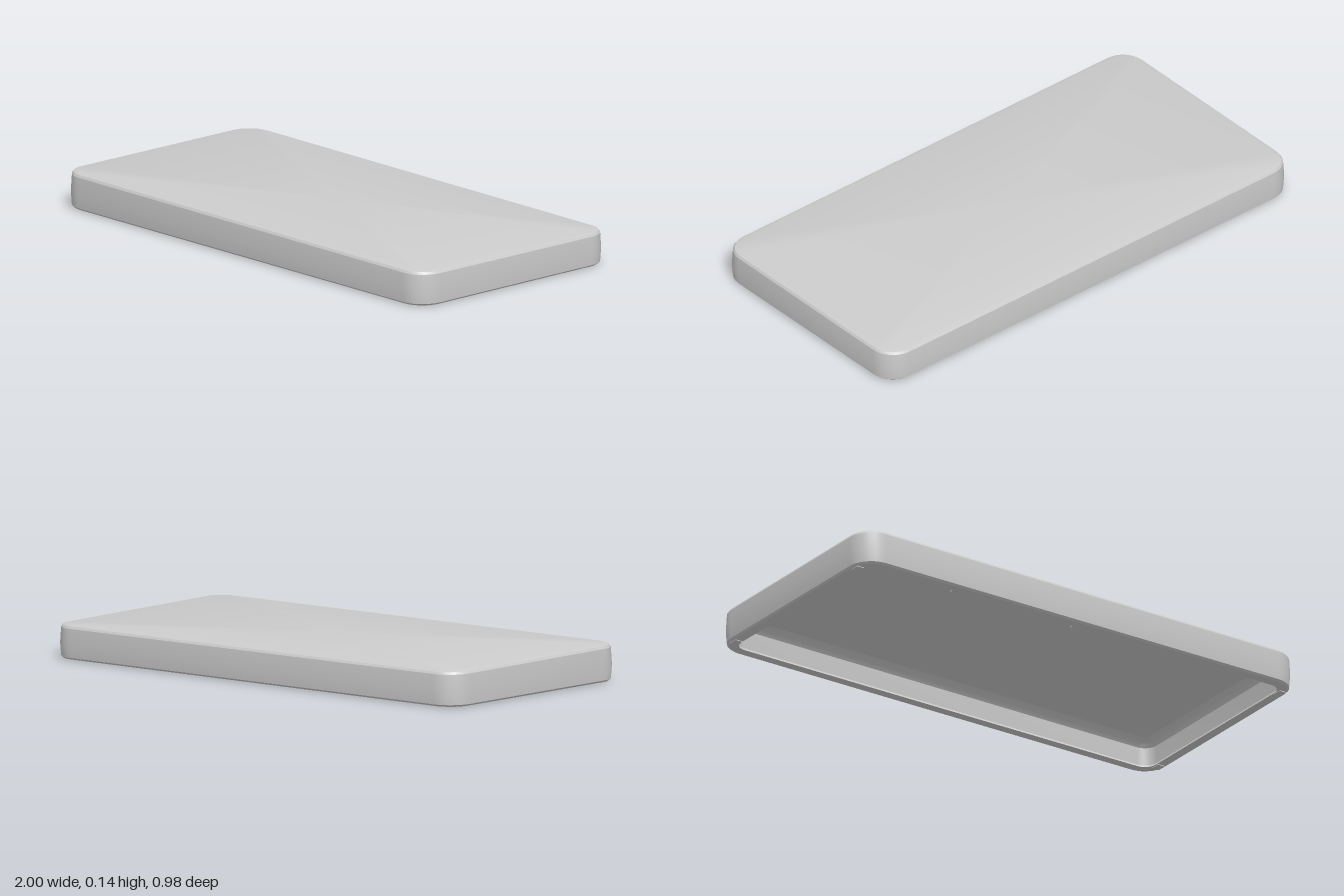
import * as THREE from 'three';
import { toCreasedNormals } from 'three/addons/utils/BufferGeometryUtils.js';

const HALF_X = 1, HALF_Z = 0.49, RADIUS = 0.1, CORNER_STEPS = 7;

// Rounded rectangle ring, moved inwards by inset
function ring(inset, y) {
  const points = [];
  const r = Math.max(RADIUS - inset, 0.03);
  const cx = HALF_X - inset - r, cz = HALF_Z - inset - r;
  const corners = [[1, 1], [-1, 1], [-1, -1], [1, -1]];
  corners.forEach(([sx, sz], k) => {
    for (let i = 0; i <= CORNER_STEPS; i++) {
      const a = (k + i / CORNER_STEPS) * Math.PI / 2;
      const x = sx * cx + r * Math.cos(a), z = sz * cz + r * Math.sin(a);
      // the top leans down slightly to the left and back
      points.push([x, y * (1 - 0.025 * x + 0.04 * z), z]);
    }
  });
  return points;
}

// Skin the rings, from the ceiling around the rim to the top
function shellGeometry() {
  const profile = [
    [0.08, 0.117], [0.058, 0.1], [0.048, 0.085], [0.046, 0.012], [0.05, 0.003],
    [0.012, 0.003], [0.004, 0.01], [0, 0.06], [0.004, 0.125], [0.01, 0.134], [0.028, 0.139],
  ];
  const rings = profile.map(([inset, y]) => ring(inset, y));
  const n = rings[0].length;
  rings.unshift(Array(n).fill([0, 0.117, 0]));
  rings.push(Array(n).fill([0, 0.14, 0]));
  const index = [];
  for (let i = 0; i < rings.length - 1; i++) {
    for (let j = 0; j < n; j++) {
      const a = i * n + j, b = i * n + (j + 1) % n, c = a + n, d = b + n;
      if (i < rings.length - 2) index.push(a, c, d);
      else index.push(a, c, b);
      if (i > 0 && i < rings.length - 2) index.push(a, d, b);
    }
  }
  const geometry = new THREE.BufferGeometry();
  geometry.setAttribute('position', new THREE.Float32BufferAttribute(rings.flat(2), 3));
  geometry.setIndex(index);
  return toCreasedNormals(geometry.toNonIndexed(), 0.35);
}

// Wedge clip: profile in depth and height, extruded along the wall
function clipGeometry(width, low, high) {
  const s = new THREE.Shape();
  s.moveTo(0, low);
  s.lineTo(0.02, low);
  s.lineTo(0.035, low + 0.025);
  s.lineTo(0.012, high);
  s.lineTo(0, high);
  const g = new THREE.ExtrudeGeometry(s, { depth: width, bevelEnabled: false });
  g.translate(0, 0, -width / 2);
  g.rotateY(Math.PI / 2); // depth now points to -z
  return g;
}

export function createModel() {
  const group = new THREE.Group();
  const material = new THREE.MeshStandardMaterial({ color: 0xcccccc });

  const shell = new THREE.Mesh(shellGeometry(), material);
  shell.name = 'coverShell';
  group.add(shell);

  // Clips along the inside of the front wall
  for (const [x, low, high] of [[0.03, 0.004, 0.075], [-0.52, 0.004, 0.105]]) {
    const clip = new THREE.Mesh(clipGeometry(0.08, low, high), material);
    clip.name = 'wallClip';
    clip.position.set(x, 0, HALF_Z - 0.044);
    group.add(clip);
  }

  // Small pads under the rim at the corners
  for (const sx of [1, -1]) {
    for (const sz of [1, -1]) {
      const pad = new THREE.Mesh(new THREE.BoxGeometry(0.03, 0.005, 0.04), material);
      pad.name = 'rimPad';
      pad.position.set(sx * 0.968, 0.0025, sz * 0.4);
      group.add(pad);
    }
  }
  return group;
}
